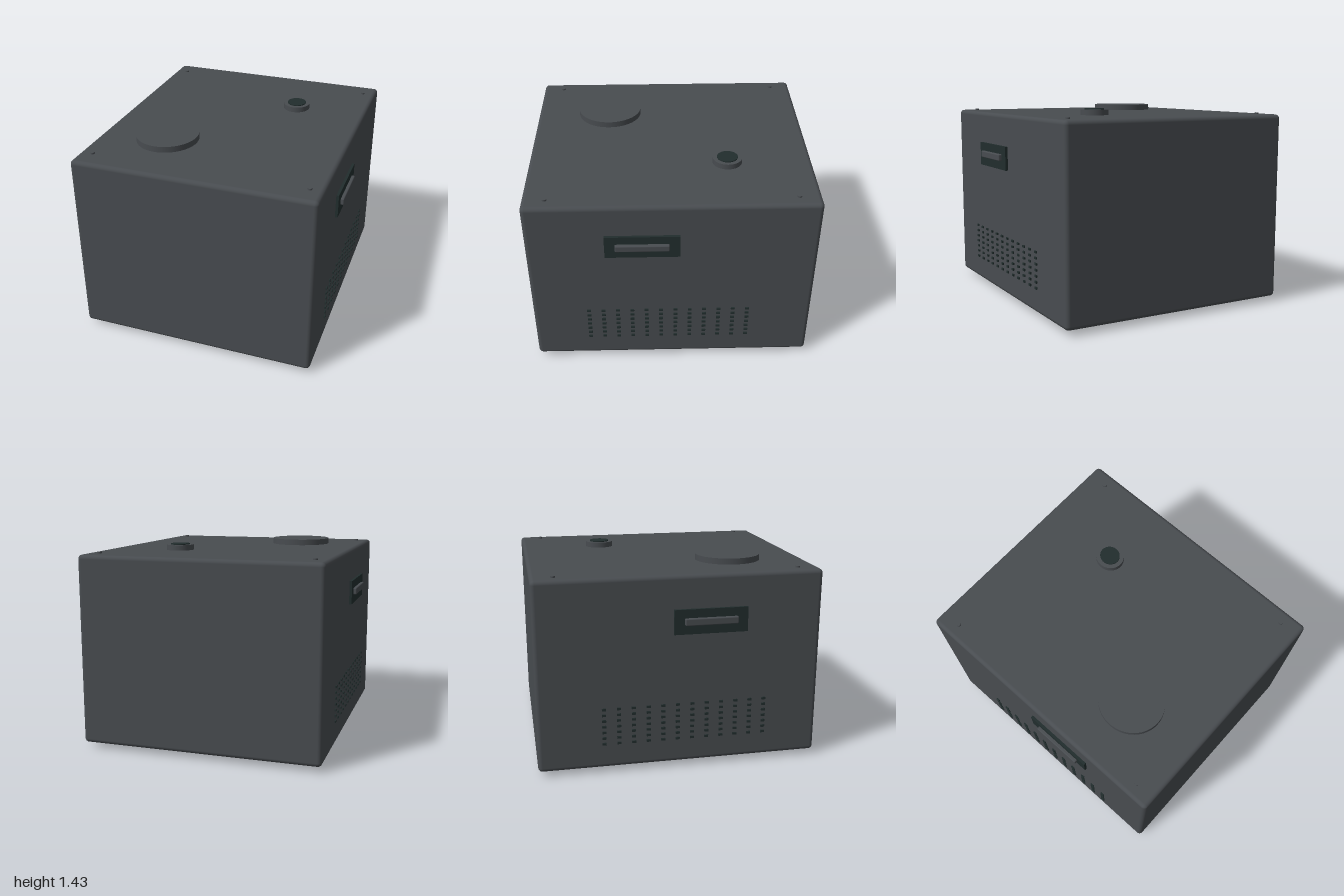
import * as THREE from 'three';
import { RoundedBoxGeometry } from 'three/addons/geometries/RoundedBoxGeometry.js';

export function createModel() {
  const model = new THREE.Group();
  model.name = 'cabinet';
  const casing = new THREE.MeshStandardMaterial({ name: 'casing grey', color: 0x484c50 });
  const dark = new THREE.MeshStandardMaterial({ name: 'dark rubber', color: 0x212d2d });

  const add = (name, geometry, material, x, y, z, parent = model) => {
    const mesh = new THREE.Mesh(geometry, material);
    mesh.name = name;
    mesh.position.set(x, y, z);
    parent.add(mesh);
    return mesh;
  };
  // Upright disc between two heights, slightly narrower in x than in z
  const disc = (name, material, x, z, r, y0, y1, sides = 48) => {
    const geometry = new THREE.CylinderGeometry(r, r, y1 - y0, sides);
    geometry.scale(0.945, 1, 1);
    return add(name, geometry, material, x, (y0 + y1) / 2, z);
  };

  // Main housing
  add('body', new RoundedBoxGeometry(1.734, 1.351, 2, 4, 0.03), casing, 0, 0.7125, 0);

  // Lid fittings
  disc('lidDisc', casing, -0.378, 0.45, 0.235, 1.38, 1.431, 64);
  disc('knobBase', casing, 0.339, -0.4, 0.104, 1.38, 1.427);
  disc('knobCap', dark, 0.339, -0.4, 0.073, 1.42, 1.434);

  // Corner screws and feet
  for (const sx of [-1, 1]) {
    for (const sz of [-1, 1]) {
      disc('screw', casing, sx * 0.77, sz * 0.845, 0.016, 1.38, 1.399, 16);
      disc('foot', dark, sx * 0.647, sz * 0.7, 0.096, 0, 0.045, 32);
    }
  }

  // Side handles and vent slots, mirrored left and right
  const plateShape = new THREE.BoxGeometry(0.03, 0.174, 0.514);
  const barShape = new RoundedBoxGeometry(0.04, 0.05, 0.371, 2, 0.008);
  const slotShape = new THREE.BoxGeometry(0.02, 0.016, 0.028);
  for (const side of [-1, 1]) {
    const group = new THREE.Group();
    group.name = side > 0 ? 'leftSide' : 'rightSide';
    model.add(group);
    add('handlePlate', plateShape, dark, side * 0.871, 1.068, 0.205, group);
    add('handleBar', barShape, casing, side * 0.89, 1.07, 0.205, group);
    for (let col = 0; col < 12; col++) {
      for (let row = 0; row < 7; row++) {
        add('ventSlot', slotShape, dark, side * 0.867, 0.219 + row * 0.0423, 0.6 - col * 0.1036, group);
      }
    }
  }
  return model;
}
